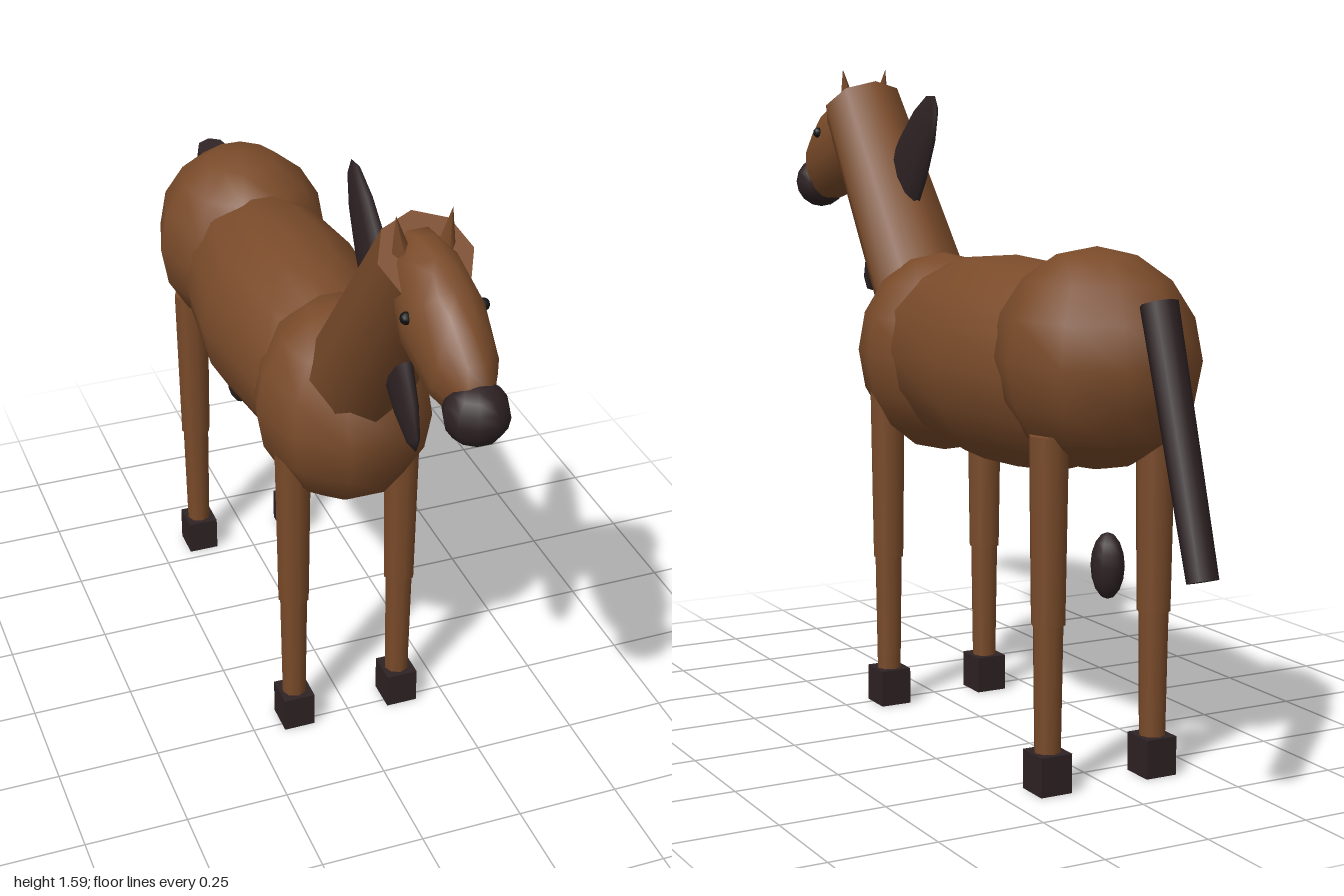
import * as THREE from 'three';

function material(name, color) {
  const m = new THREE.MeshStandardMaterial({ color });
  m.name = name;
  return m;
}

export function createModel() {
  const coat = material('brown coat', 0x7a4b2a);
  const dark = material('dark hair and hooves', 0x2e2224);
  const black = material('black eye', 0x111111);

  const horse = new THREE.Group();
  horse.name = 'horse';

  function add(parent, name, geometry, mat, x, y, z, tilt = 0) {
    const mesh = new THREE.Mesh(geometry, mat);
    mesh.name = name;
    mesh.position.set(x, y, z);
    mesh.rotation.x = tilt;
    parent.add(mesh);
    return mesh;
  }

  // Coarse ellipsoid with radii rx, ry, rz
  const ellipsoid = (rx, ry, rz) => new THREE.SphereGeometry(1, 10, 8).scale(rx, ry, rz);

  // Tapered round bar between two points in the middle plane, given as [y, z]
  function bar(name, mat, top, bottom, rTop, rBottom) {
    const dy = top[0] - bottom[0], dz = top[1] - bottom[1];
    const geometry = new THREE.CylinderGeometry(rTop, rBottom, Math.hypot(dy, dz), 8);
    add(horse, name, geometry, mat, 0, (top[0] + bottom[0]) / 2, (top[1] + bottom[1]) / 2, Math.atan2(dz, dy));
  }

  // Body
  add(horse, 'barrel', ellipsoid(0.222, 0.247, 0.577), coat, 0, 0.912, -0.18);
  add(horse, 'chest', ellipsoid(0.21, 0.248, 0.24), coat, 0, 0.893, 0.19);
  add(horse, 'rump', ellipsoid(0.222, 0.247, 0.257), coat, 0, 0.954, -0.54);

  // Neck and mane
  bar('neck', coat, [1.501, 0.662], [0.9, 0.212], 0.105, 0.13);
  add(horse, 'mane', ellipsoid(0.028, 0.325, 0.09), dark, 0, 1.27, 0.438, -0.67);

  // Head
  add(horse, 'head', ellipsoid(0.088, 0.115, 0.232), coat, 0, 1.397, 0.755, 0.52);
  add(horse, 'muzzle', ellipsoid(0.07, 0.068, 0.07), dark, 0, 1.29, 0.934);
  for (const side of [-1, 1]) {
    add(horse, 'eye', new THREE.SphereGeometry(0.014, 8, 6), black, side * 0.083, 1.428, 0.765);
    const ear = add(horse, 'ear', new THREE.ConeGeometry(0.022, 0.09, 4), coat, side * 0.055, 1.55, 0.648);
    ear.rotation.z = -side * 0.15;
  }

  // Tail and the tuft below it
  bar('tail', dark, [1.097, -0.79], [0.538, -0.966], 0.042, 0.035);
  add(horse, 'tailTuft', ellipsoid(0.036, 0.075, 0.042), dark, 0, 0.5, -0.595);

  // Legs
  for (const [name, z] of [['frontLeg', 0.233], ['hindLeg', -0.571]]) {
    for (const side of [-1, 1]) {
      const leg = new THREE.Group();
      leg.name = name;
      leg.position.set(side * 0.137, 0, z);
      add(leg, 'upperLeg', new THREE.CylinderGeometry(0.045, 0.039, 0.42, 8), coat, 0, 0.588, 0);
      add(leg, 'lowerLeg', new THREE.CylinderGeometry(0.035, 0.03, 0.33, 8), coat, 0, 0.225, 0);
      add(leg, 'hoof', new THREE.BoxGeometry(0.078, 0.09, 0.083), dark, 0, 0.045, 0);
      horse.add(leg);
    }
  }

  return horse;
}
